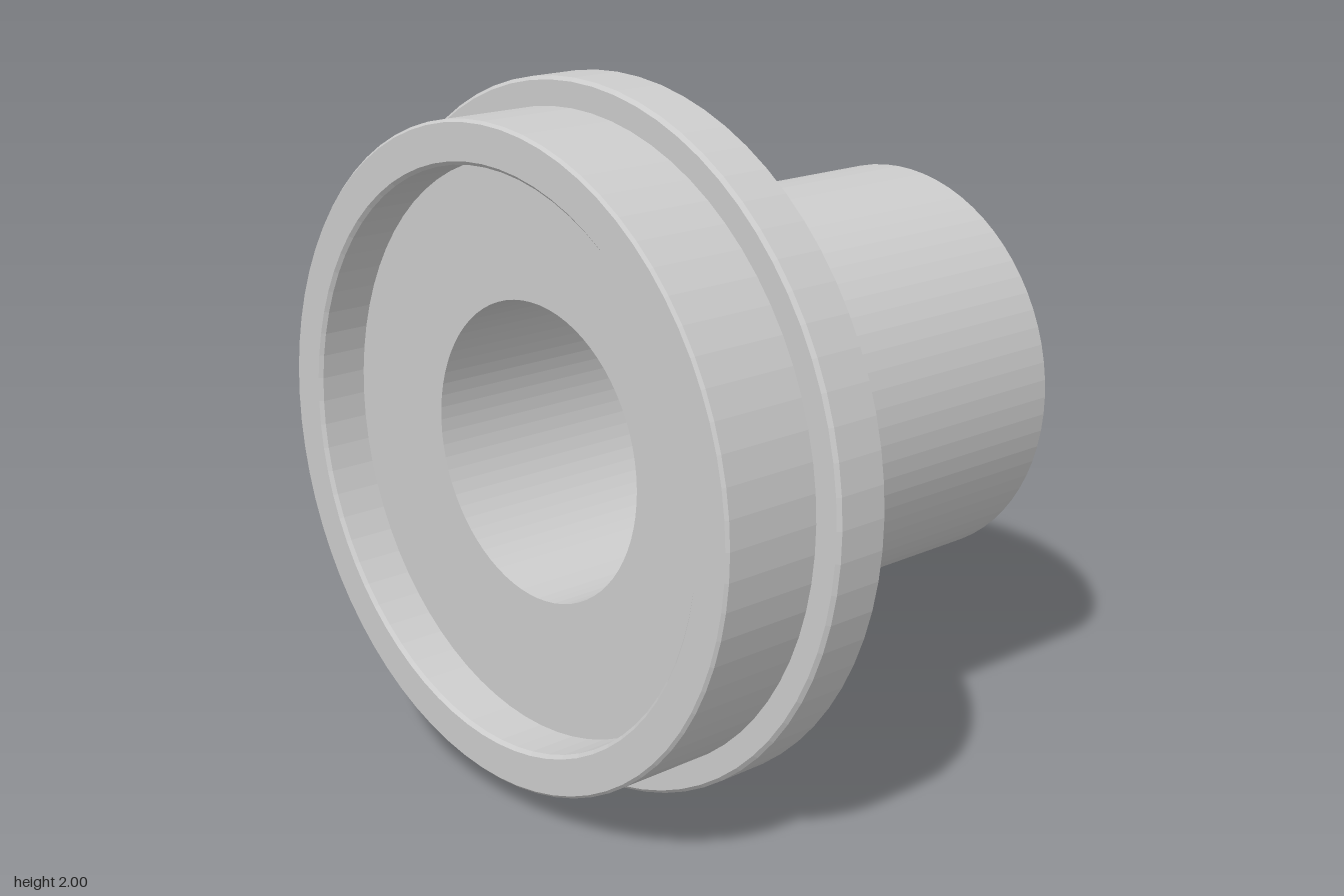
import * as THREE from 'three';

const SEGMENTS = 72;

export function createModel() {
  const model = new THREE.Group();
  model.name = 'flangedBushing';
  const material = new THREE.MeshStandardMaterial({ color: 0xcccccc, flatShading: true });

  // Revolves [axial position, radius] points around the horizontal x axis.
  function turned(name, profile) {
    const points = profile.map(([x, r]) => new THREE.Vector2(r, x));
    const geometry = new THREE.LatheGeometry(points, SEGMENTS);
    geometry.rotateZ(-Math.PI / 2);
    geometry.translate(0, 1, 0);
    const mesh = new THREE.Mesh(geometry, material);
    mesh.name = name;
    model.add(mesh);
  }

  // Blind bore opening at the back, and the counterbore floor around it
  turned('bore', [[0.6, 0], [0.6, 0.42], [-0.65, 0.42], [-0.65, 0.8]]);

  // Back rim with slightly broken edges
  turned('backRim', [
    [-0.65, 0.8], [-0.79, 0.8], [-0.8, 0.81], [-0.8, 0.912], [-0.792, 0.92], [-0.5, 0.92],
  ]);

  // Wide flange with a shallow recess in its face
  turned('flange', [[-0.5, 0.92], [-0.5, 0.99], [-0.49, 1], [-0.34, 1], [-0.34, 0.825], [-0.38, 0.825]]);

  // Bevelled seal plate sitting inside the flange recess
  turned('sealPlate', [[-0.38, 0.825], [-0.36, 0.8], [-0.36, 0.56]]);

  // Undercut neck between flange and shaft
  turned('neck', [[-0.36, 0.56], [-0.22, 0.56]]);

  // Shaft with chamfered end and a shallow centre recess
  turned('shaft', [
    [-0.22, 0.56], [-0.22, 0.595], [-0.215, 0.6], [0.775, 0.6], [0.8, 0.575],
    [0.8, 0.243], [0.77, 0.243], [0.77, 0],
  ]);

  return model;
}
